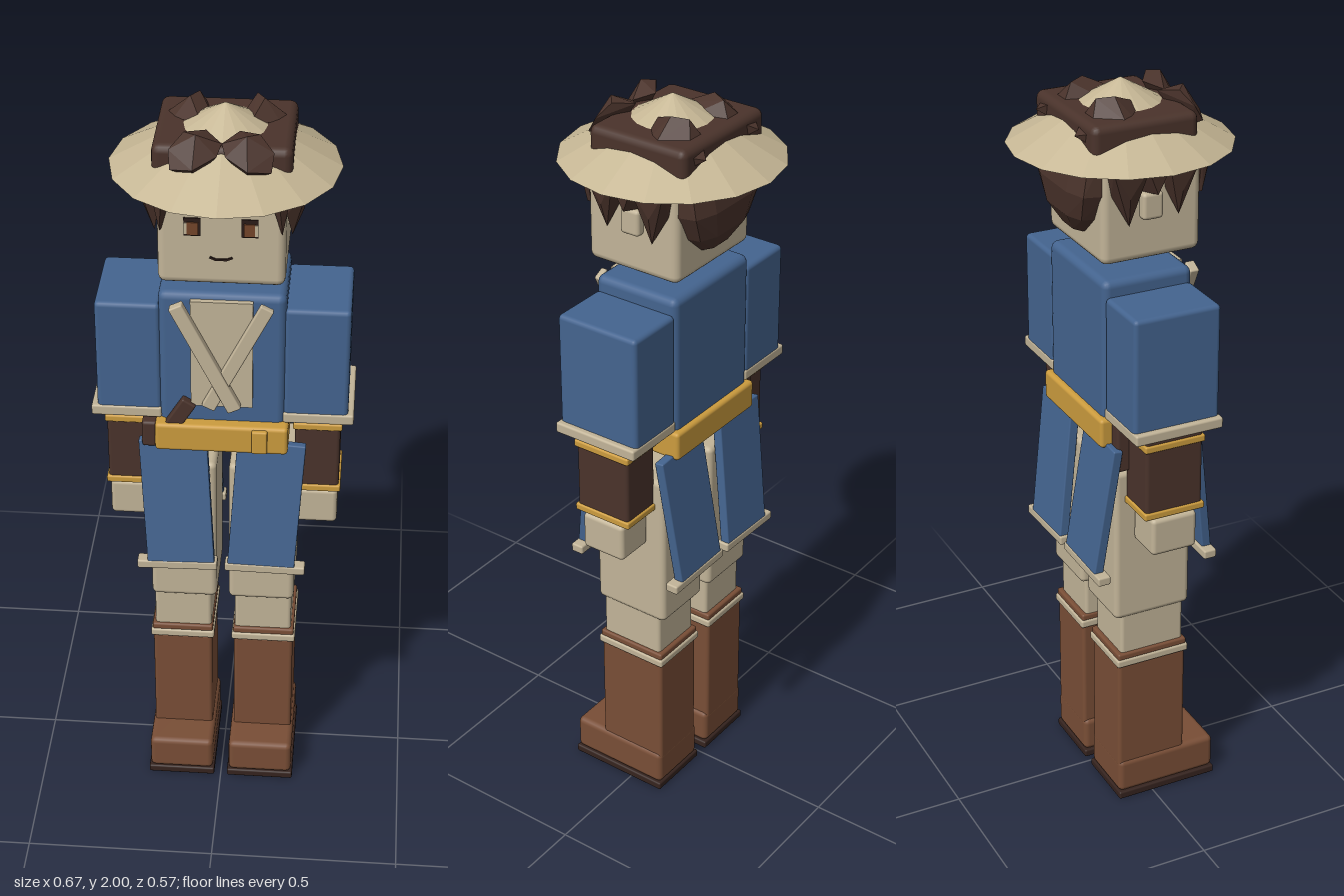
import * as THREE from 'three';
import { RoundedBoxGeometry } from 'three/addons/geometries/RoundedBoxGeometry.js';
import { ConvexGeometry } from 'three/addons/geometries/ConvexGeometry.js';

const mat = (name, color) => {
  const m = new THREE.MeshStandardMaterial({ color });
  m.name = name;
  return m;
};

export function createModel() {
  const model = new THREE.Group();
  model.name = 'blockTraveller';
  const cream = mat('cream', 0xc2b498);
  const straw = mat('straw', 0xc6b795);
  straw.side = THREE.DoubleSide;
  const blue = mat('blue', 0x44648f);
  const leather = mat('leather', 0x794e36);
  const brown = mat('darkBrown', 0x4a332b);
  const gold = mat('gold', 0xcc9c3e);
  const sole = mat('sole', 0x35231e);
  const ink = mat('ink', 0x2a1b17);
  const iris = mat('iris', 0x74452a);

  const add = (name, geo, material) => {
    const mesh = new THREE.Mesh(geo, material);
    mesh.name = name;
    model.add(mesh);
    return mesh;
  };
  // Box from its limits, with softened edges when r > 0; s mirrors it in x
  const box = (name, material, [x0, x1], [y0, y1], [z0, z1], r = 0.01, s = 1) => {
    const size = [x1 - x0, y1 - y0, z1 - z0];
    const geo = r ? new RoundedBoxGeometry(...size, 2, r) : new THREE.BoxGeometry(...size);
    const mesh = add(name, geo, material);
    mesh.position.set(s * (x0 + x1) / 2, (y0 + y1) / 2, (z0 + z1) / 2);
    return mesh;
  };
  // Faceted lump of hair around a few points
  const tuft = (name, points, s = 1) =>
    add(name, new ConvexGeometry(points.map(([x, y, z]) => new THREE.Vector3(s * x, y, z))), brown);

  // Torso, neck and head
  box('torso', blue, [-0.16, 0.16], [1.1, 1.54], [-0.125, 0.122], 0.02);
  box('shirtFront', cream, [-0.078, 0.078], [1.22, 1.525], [0.11, 0.135], 0);
  box('neck', cream, [-0.053, 0.053], [1.52, 1.6], [-0.05, 0.05], 0);
  box('head', cream, [-0.156, 0.156], [1.58, 1.88], [-0.126, 0.145], 0.02);

  // Belt with buckle, pouch and tilted dagger hilt
  box('belt', gold, [-0.17, 0.17], [1.09, 1.17], [-0.14, 0.155], 0.01);
  box('buckle', gold, [0.078, 0.118], [1.098, 1.165], [0.15, 0.166], 0.005);
  box('pouch', brown, [-0.205, -0.165], [1.03, 1.175], [-0.11, -0.03], 0.008);
  box('sheath', brown, [-0.205, -0.165], [1.09, 1.165], [0.02, 0.14], 0.008);
  const hilt = box('daggerHilt', brown, [-0.13, -0.09], [1.13, 1.24], [0.12, 0.145], 0.005);
  hilt.rotation.z = -0.55;

  // Mouth
  box('mouth', ink, [-0.015, 0.015], [1.651, 1.656], [0.144, 0.149], 0);

  for (const s of [1, -1]) {
    // Boots and legs
    box('sole', sole, [0.018, 0.202], [0, 0.022], [-0.102, 0.192], 0.005, s);
    box('bootFoot', leather, [0.022, 0.198], [0.02, 0.12], [-0.1, 0.19], 0.015, s);
    box('bootShaft', leather, [0.03, 0.192], [0.1, 0.435], [-0.1, 0.1], 0.01, s);
    box('bootTrim', cream, [0.024, 0.198], [0.43, 0.453], [-0.106, 0.106], 0.006, s);
    box('bootTop', leather, [0.028, 0.194], [0.45, 0.47], [-0.102, 0.102], 0.006, s);
    box('lowerLeg', cream, [0.032, 0.186], [0.46, 0.6], [-0.09, 0.094], 0.01, s);
    box('upperLeg', cream, [0.016, 0.192], [0.58, 1.02], [-0.11, 0.11], 0.015, s);

    // Arms
    box('sleeve', blue, [0.155, 0.32], [1.18, 1.5], [-0.121, 0.117], 0.012, s);
    box('sleeveTrim', cream, [0.155, 0.335], [1.168, 1.198], [-0.123, 0.121], 0.006, s);
    box('glove', brown, [0.185, 0.302], [0.935, 1.17], [-0.078, 0.082], 0.01, s);
    box('gloveTopBand', gold, [0.18, 0.307], [1.125, 1.145], [-0.083, 0.087], 0.005, s);
    box('gloveWristBand', gold, [0.18, 0.307], [0.933, 0.953], [-0.083, 0.087], 0.005, s);
    box('hand', cream, [0.19, 0.3], [0.82, 0.925], [-0.058, 0.07], 0.012, s);

    // Collar strips crossing over the chest
    const lapel = box('lapel', cream, [-0.018, 0.018], [1.2, 1.54], [0.132, s > 0 ? 0.15 : 0.158], 0.004);
    lapel.position.x = s * 0.04;
    lapel.position.y = 1.37;
    lapel.rotation.z = -s * 0.46;
    lapel.scale.y = 0.98;

    // Flared coat panels, front and back
    for (const f of [1, -1]) {
      const panel = box('coatPanel', blue, [0.028, 0.205], [0.73, 1.105], [-0.013, 0.013], 0.004, s);
      panel.position.z = f * 0.136;
      panel.rotation.set(-f * 0.13, 0, -s * 0.06);
      const trim = box('coatPanelTrim', cream, [0.01, 0.222], [0.72, 0.745], [-0.018, 0.018], 0.005, s);
      trim.position.z = f * 0.156;
      trim.rotation.z = -s * 0.02;
    }

    // Ears and face
    box('ear', cream, [0.145, 0.178], [1.69, 1.76], [-0.026, 0.03], 0.01, s);
    box('eye', ink, [0.049, 0.09], [1.717, 1.765], [0.144, 0.148], 0, s);
    box('iris', iris, [0.055, 0.082], [1.72, 1.754], [0.146, 0.151], 0, s);
    box('eyeShine', cream, [0.082, 0.09], [1.722, 1.752], [0.146, 0.15], 0, s);
    box('eyebrow', ink, [0.038, 0.096], [1.783, 1.795], [0.144, 0.151], 0, s).rotation.z = s * 0.2;
    box('mouthCorner', ink, [0.013, 0.028], [1.654, 1.659], [0.144, 0.149], 0, s).rotation.z = s * 0.4;

    // Hair tufts breaking through the hat
    tuft('crownTuft', [[0.05, 1.93, -0.13], [0.11, 1.93, -0.13], [0.147, 1.94, -0.06], [0.128, 1.94, -0.03],
      [0.057, 1.95, 0.02], [0.04, 1.95, -0.05], [0.09, 1.985, -0.06], [0.07, 1.98, -0.1], [0.09, 1.88, -0.06]], s);
    tuft('rearSpike', [[0.08, 1.93, -0.145], [0.14, 1.92, -0.145], [0.11, 1.91, -0.177],
      [0.08, 1.88, -0.13], [0.14, 1.88, -0.13]], s);
    tuft('foreTuft', [[0, 1.95, 0.12], [0.04, 1.965, 0.08], [0.09, 1.975, 0.115], [0.125, 1.94, 0.14],
      [0.12, 1.9, 0.165], [0.065, 1.91, 0.185], [0.01, 1.93, 0.15], [0.06, 1.98, 0.14], [0.06, 1.87, 0.14]], s);

    // Side locks around each ear
    const lock = (za, zb, tipY, tipZ) => tuft('sideLock', [[0.15, 1.86, za], [0.15, 1.86, zb], [0.205, 1.84, za],
      [0.205, 1.84, zb], [0.195, 1.76, (za + zb) / 2], [0.155, 1.76, za * 0.7 + tipZ * 0.3],
      [0.155, 1.76, zb * 0.7 + tipZ * 0.3], [0.168, tipY, tipZ]], s);
    lock(0.03, 0.115, 1.69, 0.075);
    lock(-0.02, -0.12, 1.68, -0.06);
    lock(-0.03, 0.04, 1.76, 0.01);

    // Fringe strands: centre x, half width, tip height
    for (const [x, w, y] of [[0.14, 0.03, 1.73], [0.095, 0.028, 1.79], [0.045, 0.025, 1.81]])
      tuft('fringe', [[x - w, 1.86, 0.14], [x + w, 1.86, 0.14], [x - w, 1.86, 0.165], [x + w, 1.86, 0.165],
        [x, 1.83, 0.18], [x + 0.008, y, 0.15], [x + 0.004, y, 0.142]], s);
  }

  // Hair cap and rounded hair at the back of the head
  box('hairCap', brown, [-0.168, 0.168], [1.84, 1.943], [-0.155, 0.13], 0.02);
  const rear = [];
  for (const [y, w, z] of [[1.87, 0.15, -0.165], [1.76, 0.15, -0.185], [1.69, 0.115, -0.175], [1.64, 0.06, -0.145]])
    for (const s of [1, -1]) rear.push([s * w, y, -0.11], [s * w * 0.9, y, z * 0.9], [s * w * 0.5, y, z]);
  tuft('rearHair', rear);

  // Faceted straw hat
  const cone = new THREE.ConeGeometry(0.285, 0.16, 16, 1, true).toNonIndexed();
  cone.computeVertexNormals();
  add('hat', cone, straw).position.y = 1.92;

  return model;
}
